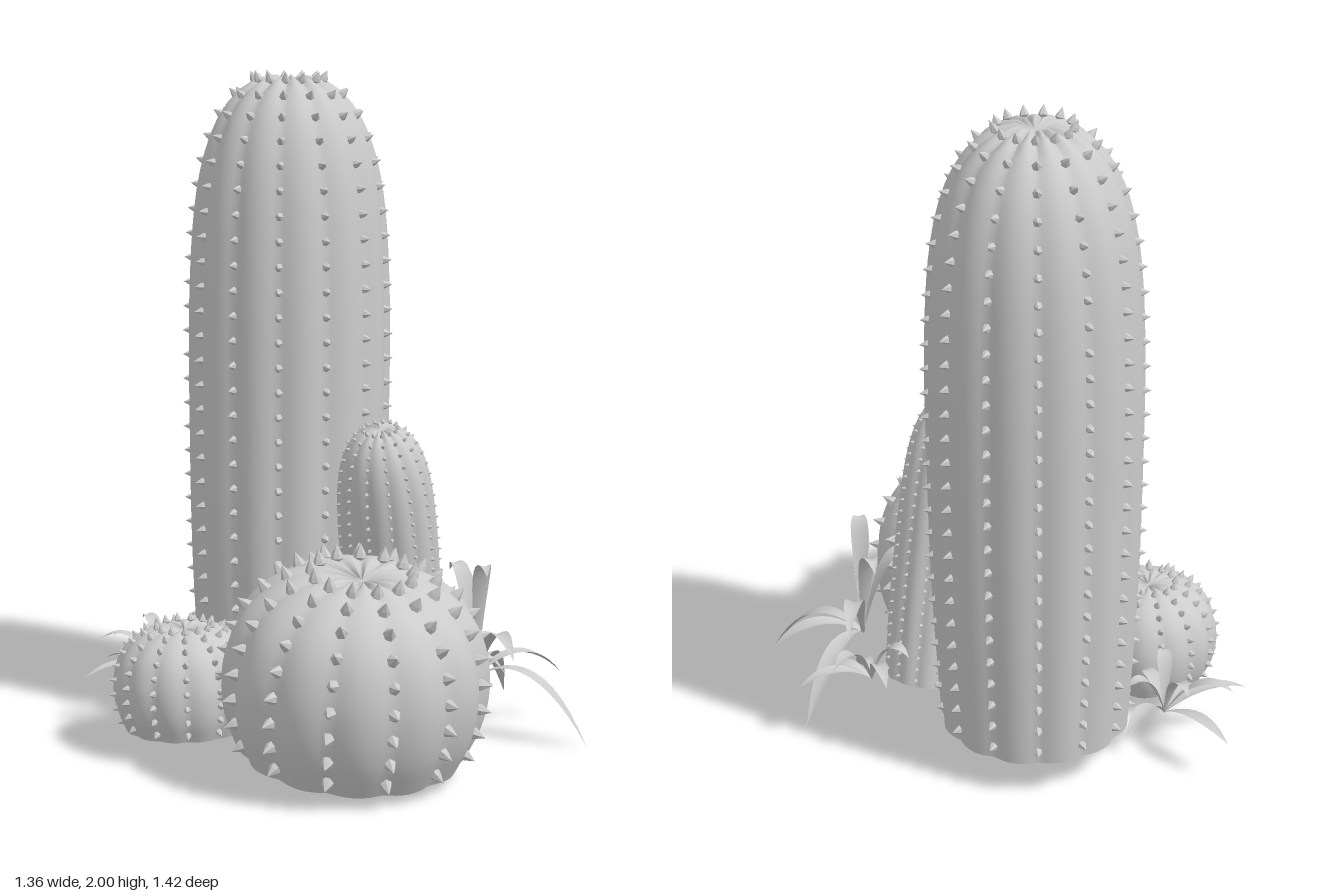
import * as THREE from 'three';
import { mergeGeometries, mergeVertices } from 'three/addons/utils/BufferGeometryUtils.js';

const RIBS = 13;
const GROOVE = 0.05;
const UP = new THREE.Vector3(0, 1, 0);
const vec = (a) => new THREE.Vector3(...a);

const skin = new THREE.MeshStandardMaterial({ color: 0xcccccc, side: THREE.DoubleSide });
const faceted = new THREE.MeshStandardMaterial({ color: 0xcccccc, flatShading: true });

const profile = (points) => new THREE.SplineCurve(points.map(([r, y]) => new THREE.Vector2(r, y)));

// Half outlines, base to crown: radius, height
const COLUMN = profile([[0.285, 0], [0.305, 0.4], [0.312, 0.8], [0.312, 1.17], [0.297, 1.45], [0.265, 1.63],
  [0.21, 1.76], [0.13, 1.845], [0.05, 1.87], [0, 1.85]]);
const BALL = profile([[0.335, 0], [0.375, 0.1], [0.39, 0.2], [0.382, 0.3], [0.345, 0.4], [0.28, 0.475],
  [0.19, 0.525], [0.09, 0.54], [0, 0.52]]);

// Open-bottomed ribbed body: rounded lobes with narrow grooves between them
function ribbedBody(curve, phase) {
  const geo = new THREE.LatheGeometry(curve.getSpacedPoints(36), RIBS * 8);
  const pos = geo.attributes.position;
  for (let i = 0; i < pos.count; i++) {
    const x = pos.getX(i), z = pos.getZ(i), r = Math.hypot(x, z);
    const groove = 1 - Math.abs(Math.sin((Math.atan2(x, z) - phase) * RIBS / 2));
    const k = 1 - GROOVE * groove;
    const sink = r > 1e-4 ? 0.025 * groove * Math.exp(-r * r / 0.02) : 0;
    pos.setXYZ(i, x * k, pos.getY(i) - sink, z * k);
  }
  geo.deleteAttribute('uv');
  geo.deleteAttribute('normal');
  const welded = mergeVertices(geo, 1e-5);
  welded.computeVertexNormals();
  return welded;
}

// Rows of pointed thorns running up every groove
function thornRows(curve, phase, size, spacing, first, last) {
  const outline = [[0, -0.8], [1, 0], [0.75, 0.7], [0, 2.1]].map(([r, y]) => new THREE.Vector2(r * size, y * size));
  const thorn = new THREE.LatheGeometry(outline, 6);
  const length = curve.getLength();
  const list = [];
  for (let rib = 0; rib < RIBS; rib++) {
    const a = phase + rib * 2 * Math.PI / RIBS;
    for (let s = first; s < length - last; s += spacing) {
      const p = curve.getPointAt(s / length), t = curve.getTangentAt(s / length);
      const r = p.x * (1 - GROOVE);
      const out = new THREE.Vector3(t.y * Math.sin(a), -t.x, t.y * Math.cos(a)).normalize();
      const at = new THREE.Vector3(r * Math.sin(a), p.y, r * Math.cos(a));
      const turn = new THREE.Quaternion().setFromUnitVectors(UP, out);
      list.push(thorn.clone().applyMatrix4(new THREE.Matrix4().compose(at, turn, new THREE.Vector3(1, 1, 1))));
    }
  }
  return mergeGeometries(list);
}

// One cactus: base and crown points set its lean
function cactus(name, curve, { base, top, scale, phase, thorn }) {
  const group = new THREE.Group();
  group.name = name;
  const body = new THREE.Mesh(ribbedBody(curve, phase), skin);
  body.name = name + 'Body';
  const thorns = new THREE.Mesh(thornRows(curve, phase, ...thorn), faceted);
  thorns.name = name + 'Thorns';
  group.add(body, thorns);
  group.position.set(...base);
  group.quaternion.setFromUnitVectors(UP, vec(top).sub(vec(base)).normalize());
  group.scale.setScalar(scale);
  return group;
}

// Lance-shaped, slightly folded leaf arching from root to tip
function leaf(root, tip, arch, width) {
  const bend = root.clone().lerp(tip, 0.5);
  bend.y = Math.max(root.y, tip.y) + arch;
  const path = new THREE.QuadraticBezierCurve3(root, bend, tip);
  const flat = new THREE.Vector3(tip.x - root.x, 0, tip.z - root.z).normalize();
  const side = new THREE.Vector3().crossVectors(flat, UP);
  const N = 12, points = [], index = [];
  for (let i = 0; i <= N; i++) {
    const t = i / N, c = path.getPoint(t);
    const w = width * (0.2 * (1 - t) + 0.9 * Math.sin(Math.PI * Math.pow(t, 1.2))) / 2;
    const lift = side.clone().cross(path.getTangent(t)).multiplyScalar(w * 0.3);
    for (const k of [-1, 0, 1]) {
      const p = c.clone().addScaledVector(side, k * w).addScaledVector(lift, Math.abs(k));
      points.push(p.x, p.y, p.z);
    }
    if (i < N) {
      for (const j of [0, 1]) {
        const a = i * 3 + j;
        index.push(a, a + 1, a + 3, a + 1, a + 4, a + 3);
      }
    }
  }
  const geo = new THREE.BufferGeometry();
  geo.setAttribute('position', new THREE.Float32BufferAttribute(points, 3));
  geo.setIndex(index);
  geo.computeVertexNormals();
  return geo;
}

function rosette(name, root, tips, arch, width) {
  const mesh = new THREE.Mesh(mergeGeometries(tips.map((t) => leaf(vec(root), vec(t), arch, width))), skin);
  mesh.name = name;
  return mesh;
}

export function createModel() {
  const model = new THREE.Group();
  model.name = 'cactusCluster';

  // Cacti; thorn = size, spacing, start and end gaps along the outline
  const columnThorns = [0.014, 0.075, 0.04, 0.06];
  const ballThorns = [0.02, 0.076, 0.05, 0.1];
  model.add(
    cactus('tallCactus', COLUMN, { base: [-0.025, 0.13, -0.35], top: [0, 2, -0.375], scale: 1, phase: -0.05, thorn: columnThorns }),
    cactus('leaningCactus', COLUMN, { base: [0.22, 0.12, -0.05], top: [0.065, 0.99, 0.11], scale: 0.48, phase: 0.1, thorn: columnThorns }),
    cactus('largeRoundCactus', BALL, { base: [-0.11, 0.085, 0.27], top: [-0.11, 0.61, 0.345], scale: 1, phase: -0.17, thorn: ballThorns }),
    cactus('smallRoundCactus', BALL, { base: [-0.455, 0.08, -0.14], top: [-0.46, 0.39, -0.145], scale: 0.565, phase: 0.1, thorn: ballThorns }),
  );

  // Leafy plants between the cacti, given by leaf tips
  model.add(
    rosette('frontLeafPlant', [0.38, 0.19, 0.14], [
      [0.68, 0.17, 0.14], [0.62, 0.01, 0.40], [0.28, 0.36, 0.54], [0.63, 0.04, -0.12], [0.52, 0.41, -0.24],
      [0.36, 0.53, 0.24], [0.2, 0.42, 0.16], [0.38, 0.49, -0.03],
    ], 0.13, 0.055),
    rosette('sideLeafPlant', [0.42, 0.18, -0.11], [
      [0.43, 0.28, -0.33], [0.65, 0.2, -0.13], [0.56, 0.3, -0.22], [0.56, 0.14, 0.01], [0.33, 0.3, -0.22], [0.42, 0.12, 0.04],
    ], 0.08, 0.045),
    rosette('backLeafPlant', [-0.39, 0.13, -0.48], [
      [-0.5, 0.14, -0.71], [-0.56, 0.24, -0.6], [-0.66, 0.16, -0.47], [-0.55, 0.12, -0.37], [-0.43, 0.27, -0.36],
      [-0.36, 0.2, -0.35], [-0.2, 0.2, -0.66], [-0.4, 0.28, -0.64], [-0.26, 0.25, -0.5],
    ], 0.07, 0.045),
  );
  return model;
}
